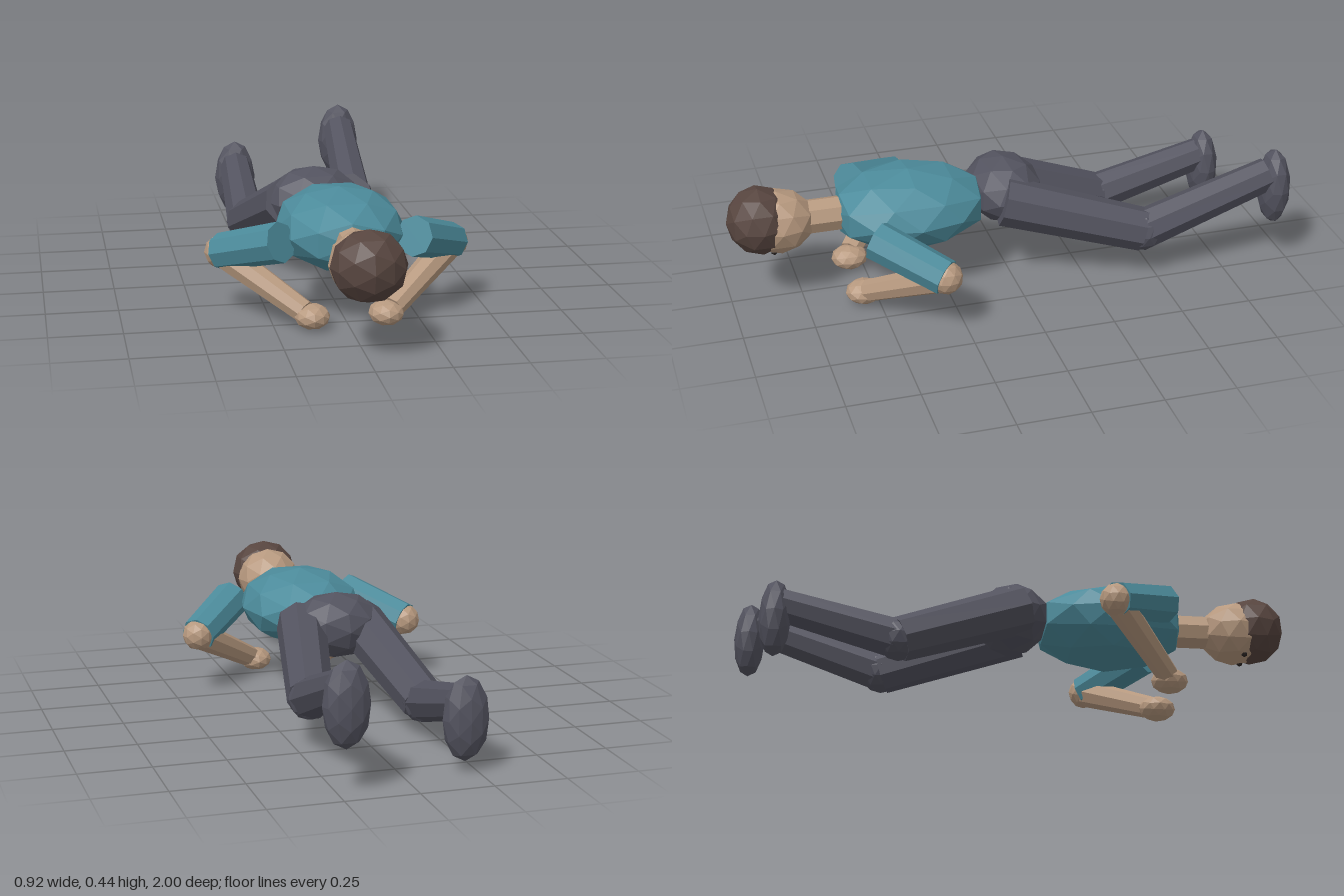
import * as THREE from 'three';

const mat = (name, color, flat = true) => {
  const m = new THREE.MeshStandardMaterial({ color, flatShading: flat });
  m.name = name;
  return m;
};

export function createModel() {
  const model = new THREE.Group();
  model.name = 'lyingFigure';
  const shirt = mat('tealShirt', 0x4c8b9b);
  const trousers = mat('greyTrousers', 0x53535f);
  const skin = mat('skin', 0xb7997f);
  const hair = mat('brownHair', 0x57453f);
  const dark = mat('darkEyes', 0x2a2422);

  const add = (name, geometry, material, pos) => {
    const mesh = new THREE.Mesh(geometry, material);
    mesh.name = name;
    mesh.position.set(...pos);
    model.add(mesh);
    return mesh;
  };

  // Faceted ellipsoid
  const blob = (name, material, pos, radii, detail = 1) =>
    add(name, new THREE.IcosahedronGeometry(1, detail).scale(...radii), material, pos);

  // Eight-sided tapered limb between two points
  const limb = (name, material, from, to, r0, r1) => {
    const a = new THREE.Vector3(...from), b = new THREE.Vector3(...to);
    const dir = b.clone().sub(a);
    const geometry = new THREE.CylinderGeometry(r1, r0, dir.length(), 8);
    const mesh = add(name, geometry, material, a.add(b).multiplyScalar(0.5).toArray());
    mesh.quaternion.setFromUnitVectors(new THREE.Vector3(0, 1, 0), dir.normalize());
    return mesh;
  };

  // Torso, blunt at shoulders and waist
  const torso = blob('torso', shirt, [0, 0.296, 0.355], [0.222, 0.139, 0.29]);
  const p = torso.geometry.attributes.position;
  for (let i = 0; i < p.count; i++) p.setZ(i, THREE.MathUtils.clamp(p.getZ(i), -0.268, 0.268));
  torso.geometry.computeVertexNormals();

  const pelvis = blob('pelvis', trousers, [-0.03, 0.3, 0], [0.172, 0.12, 0.135]);
  pelvis.rotation.y = 0.12;

  // Head, face down
  limb('neck', skin, [0, 0.298, 0.57], [0, 0.298, 0.74], 0.062, 0.062);
  blob('head', skin, [0, 0.298, 0.82], [0.12, 0.113, 0.13]);
  blob('hair', hair, [0, 0.311, 0.885], [0.126, 0.12, 0.115]);

  for (const s of [1, -1]) {
    const side = s > 0 ? 'left' : 'right';
    blob(side + 'Eye', dark, [s * 0.042, 0.201, 0.845], [0.012, 0.012, 0.012], 0);

    // Arms, bent with the hands by the chest
    const elbow = [s * 0.402, 0.215, 0.322];
    limb(side + 'UpperArm', shirt, [s * 0.225, 0.295, 0.52], elbow, 0.07, 0.064);
    blob(side + 'Elbow', skin, elbow, [0.058, 0.058, 0.058]);
    limb(side + 'Forearm', skin, elbow, [s * 0.15, 0.056, 0.54], 0.052, 0.04);
    blob(side + 'Hand', skin, [s * 0.126, 0.043, 0.55], [0.061, 0.043, 0.066]);
  }

  // Legs: the two differ in spread and lift
  const legs = [
    { side: 'left', hip: [0.09, 0.305, 0.03], knee: [0.2, 0.175, -0.455], ankle: [0.225, 0.345, -0.915], foot: [0.225, 0.293, -0.94] },
    { side: 'right', hip: [-0.125, 0.3, 0.03], knee: [-0.22, 0.115, -0.41], ankle: [-0.21, 0.23, -0.82], foot: [-0.21, 0.18, -0.838] },
  ];
  for (const { side, hip, knee, ankle, foot } of legs) {
    limb(side + 'Thigh', trousers, hip, knee, 0.09, 0.079);
    blob(side + 'Knee', trousers, knee, [0.076, 0.076, 0.076]);
    limb(side + 'Shin', trousers, knee, ankle, 0.073, 0.06);
    blob(side + 'Foot', trousers, foot, [0.08, 0.145, 0.056]);
  }
  return model;
}
